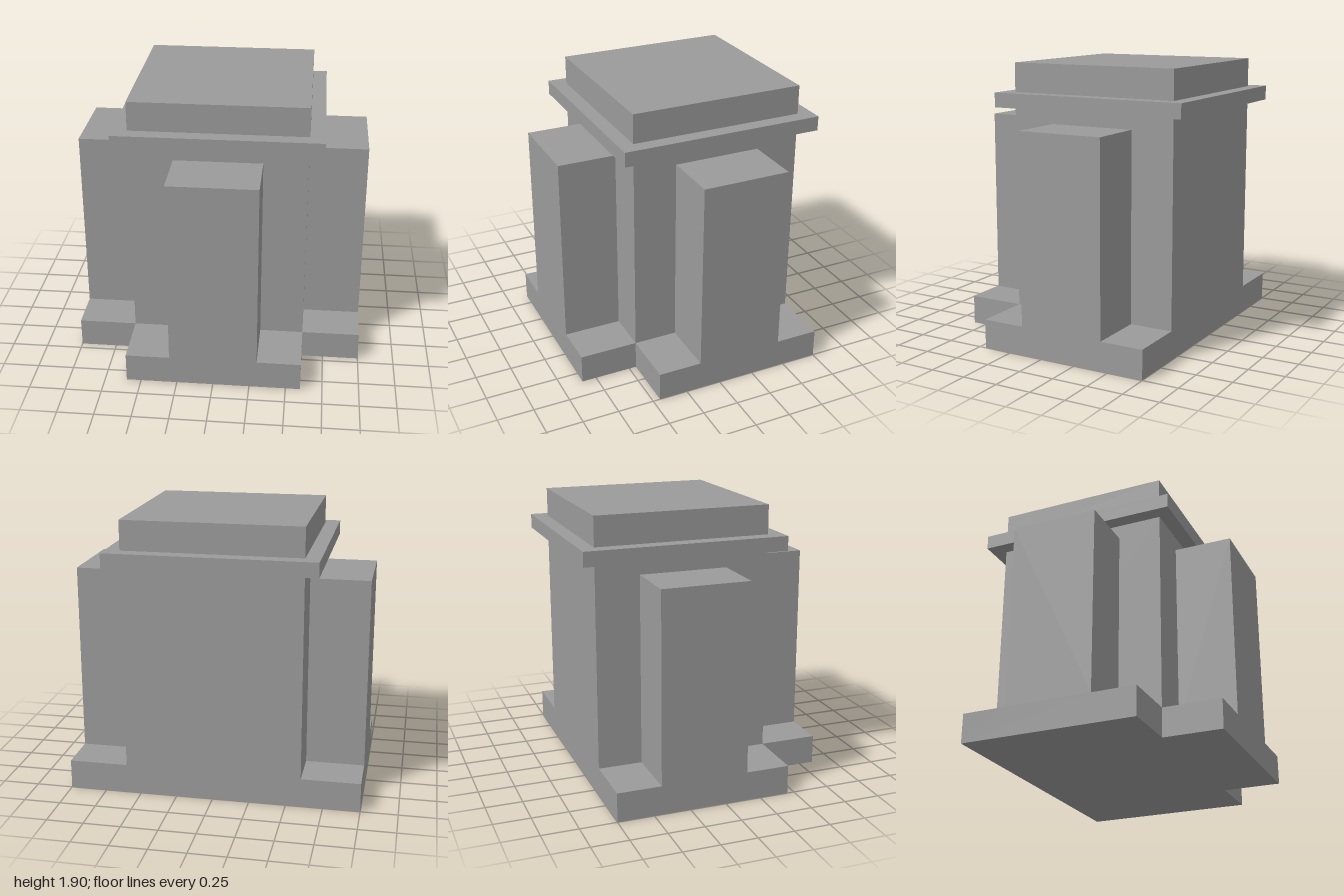
import * as THREE from 'three';

const material = new THREE.MeshStandardMaterial({ color: 0x9b9b9b, flatShading: true });

function block(name, w, h, d, y) {
  const mesh = new THREE.Mesh(new THREE.BoxGeometry(w, h, d), material);
  mesh.name = name;
  mesh.position.y = y + h / 2;
  return mesh;
}

// Upright slab on a wide foot, as one inverted-T profile
function buttressGeometry() {
  const profile = new THREE.Shape([
    [-0.6, 0], [0.6, 0], [0.6, 0.2], [0.3, 0.2],
    [0.3, 1.5], [-0.3, 1.5], [-0.3, 0.2], [-0.6, 0.2],
  ].map(([x, y]) => new THREE.Vector2(x, y)));
  return new THREE.ExtrudeGeometry(profile, { depth: 0.4, bevelEnabled: false })
    .translate(0, 0, 0.6);
}

export function createModel() {
  const model = new THREE.Group();
  model.name = 'pedestal';

  // Everything is arranged around the axis of the square core
  const tower = new THREE.Group();
  tower.name = 'tower';
  tower.position.z = -0.15;
  model.add(tower);

  // Square core with a projecting cornice below its cap
  tower.add(
    block('core', 1.2, 1.6, 1.2, 0),
    block('cornice', 1.4, 0.1, 1.4, 1.6),
    block('cap', 1.2, 0.2, 1.2, 1.7),
  );

  // Buttresses on the front and both sides; the back stays flat
  const geometry = buttressGeometry();
  [['frontButtress', 0], ['leftButtress', Math.PI / 2], ['rightButtress', -Math.PI / 2]]
    .forEach(([name, angle]) => {
      const buttress = new THREE.Mesh(geometry, material);
      buttress.name = name;
      buttress.rotation.y = angle;
      tower.add(buttress);
    });

  return model;
}
